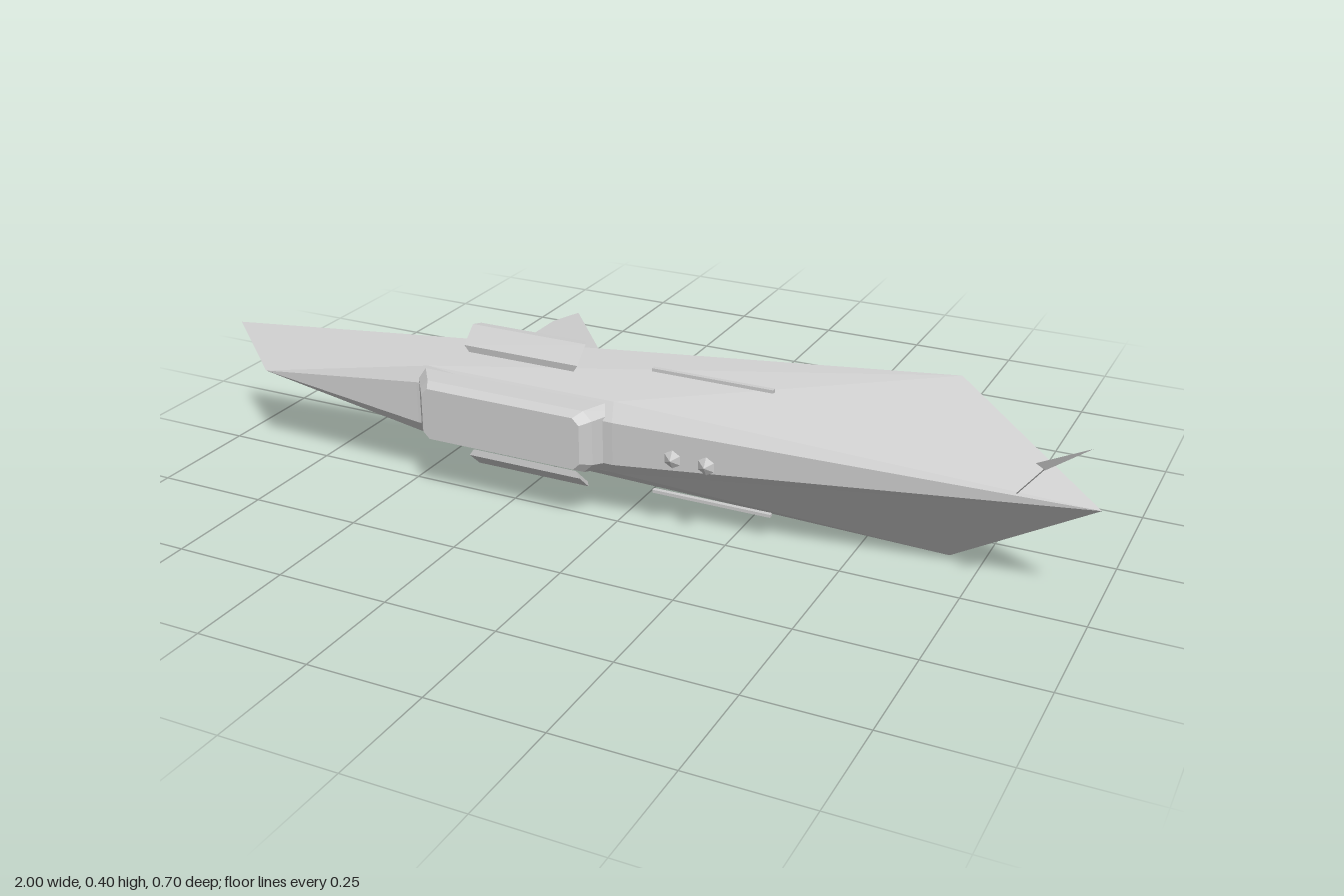
import * as THREE from 'three';

const grey = new THREE.MeshStandardMaterial({ color: 0xcccccc });
grey.name = 'hull grey';

// Faceted solid from points and polygons; each triangle is turned away from the centre
function solid(name, points, faces, centre) {
  const P = points.map(p => new THREE.Vector3(...p));
  const c = centre ? new THREE.Vector3(...centre)
    : P.reduce((s, p) => s.add(p), new THREE.Vector3()).divideScalar(P.length);
  const out = [];
  for (const f of faces) {
    for (let i = 1; i < f.length - 1; i++) {
      const [a, b, d] = [P[f[0]], P[f[i]], P[f[i + 1]]];
      const n = b.clone().sub(a).cross(d.clone().sub(a));
      const order = n.dot(a.clone().sub(c)) >= 0 ? [a, b, d] : [a, d, b];
      order.forEach(v => out.push(v.x, v.y, v.z));
    }
  }
  const g = new THREE.BufferGeometry();
  g.setAttribute('position', new THREE.Float32BufferAttribute(out, 3));
  g.computeVertexNormals();
  const mesh = new THREE.Mesh(g, grey);
  mesh.name = name;
  return mesh;
}

// Skin equal-length rings and cap both ends
function loft(name, rings) {
  const n = rings[0].length, faces = [];
  for (let r = 0; r < rings.length - 1; r++) {
    for (let i = 0; i < n; i++) {
      const j = (i + 1) % n;
      faces.push([r * n + i, r * n + j, (r + 1) * n + j, (r + 1) * n + i]);
    }
  }
  const ids = [...Array(n).keys()];
  faces.push(ids, ids.map(i => i + (rings.length - 1) * n));
  return solid(name, rings.flat(), faces);
}

// Rectangle with cut corners at depth z
function cutRect(x0, x1, y0, y1, z, c) {
  return [[x0 + c, y0, z], [x1 - c, y0, z], [x1, y0 + c, z], [x1, y1 - c, z],
    [x1 - c, y1, z], [x0 + c, y1, z], [x0, y1 - c, z], [x0, y0 + c, z]];
}

function makeHull() {
  const points = [
    [-1, 0.27, 0.2], [-0.86, 0.21, 0.3], [-0.75, 0.042, 0.07],    // 0-2 left end
    [0.68, 0, 0.09], [0.68, 0.397, 0.09], [1, 0.236, 0.23],       // 3-5 right end
    [-0.2, 0.2, 0.063],                                           // 6 back ridge
    [-0.45, 0.28, 0.26], [0, 0.28, 0.26],                         // 7,8 upper shoulder
    [-0.47, 0.245, 0.28], [0.01, 0.245, 0.288],                   // 9,10 upper front
    [-0.47, 0.15, 0.28], [0.01, 0.15, 0.288],                     // 11,12 lower front
    [-0.46, 0.118, 0.26], [0, 0.118, 0.26],                       // 13,14 lower shoulder
  ];
  const faces = [
    [4, 0, 7], [4, 7, 8], [4, 8, 5], [5, 8, 10], [5, 10, 12], [5, 12, 14], [5, 14, 3],
    [2, 3, 13], [3, 14, 13], [1, 0, 7], [1, 7, 9], [1, 9, 11], [1, 11, 13], [1, 13, 2], [0, 1, 2],
    [7, 8, 10, 9], [9, 10, 12, 11], [11, 12, 14, 13],
    [4, 5, 6], [5, 3, 6], [3, 2, 6], [2, 0, 6], [0, 4, 6],
  ];
  return solid('hull', points, faces, [-0.1, 0.2, 0.17]);
}

function makeFin() {
  // x, z, upper y, lower y around the outline
  const rim = [
    [-0.08, 0, 0.203, 0.195], [-0.22, -0.11, 0.206, 0.2], [-0.415, -0.35, 0.202, 0.189],
    [-0.44, -0.27, 0.204, 0.194], [-0.44, -0.04, 0.206, 0.198], [-0.53, 0.06, 0.204, 0.189],
    [-0.53, 0.1, 0.204, 0.189], [-0.49, 0.1, 0.204, 0.187], [-0.2, 0.07, 0.204, 0.187],
  ];
  const n = rim.length;
  const points = [...rim.map(r => [r[0], r[2], r[1]]), ...rim.map(r => [r[0], r[3], r[1]]),
    [-0.36, 0.208, -0.03], [-0.36, 0.188, -0.03]];
  const faces = [];
  for (let i = 0; i < n; i++) {
    const j = (i + 1) % n;
    faces.push([i, j, 2 * n], [n + i, n + j, 2 * n + 1], [i, j, n + j, n + i]);
  }
  return solid('rearFin', points, faces, [-0.36, 0.199, -0.03]);
}

// Floating side parts, mirrored above (s = 1) and below (s = -1) the mid height
function makePanels(s) {
  const g = new THREE.Group();
  g.name = s > 0 ? 'upperPanels' : 'lowerPanels';
  const y = v => 0.2 + s * v;
  const ring = (x, k) => [[x + k, y(0.115), 0.228], [x, y(0.13), 0.23],
    [x, y(0.165), 0.192], [x + k, y(0.164), 0.175]];
  g.add(loft('slantedPanel', [ring(-0.375, 0.01), ring(-0.1, -0.01)]));
  const rod = new THREE.Mesh(new THREE.BoxGeometry(0.27, 0.007, 0.01), grey);
  rod.name = 'thinRail';
  rod.position.set(0.193, y(0.139), 0.195);
  g.add(rod);
  return g;
}

export function createModel() {
  const model = new THREE.Group();
  model.name = 'spaceship';
  model.add(makeHull(), makeFin(), makePanels(1), makePanels(-1));

  // Raised bay on the front
  model.add(loft('frontBay', [
    cutRect(-0.485, 0.01, 0.125, 0.276, 0.25, 0.02),
    cutRect(-0.44, -0.025, 0.132, 0.27, 0.31, 0.02),
    cutRect(-0.425, -0.045, 0.143, 0.259, 0.33, 0.015),
  ]));

  // Pair of small cones on the front face
  for (const x of [0.155, 0.23]) {
    const cone = new THREE.Mesh(new THREE.ConeGeometry(0.02, 0.012, 6).toNonIndexed(), grey);
    cone.geometry.computeVertexNormals();
    cone.name = 'frontCone';
    cone.rotation.x = Math.PI / 2;
    cone.position.set(x, 0.2, 0.311);
    model.add(cone);
  }

  // Antenna mast and its small angular head
  const path = new THREE.LineCurve3(new THREE.Vector3(0.84, 0.24, 0.235), new THREE.Vector3(0.912, 0.352, 0.34));
  const mast = new THREE.Mesh(new THREE.TubeGeometry(path, 1, 0.0012, 4), grey);
  mast.name = 'antennaMast';
  model.add(mast);
  model.add(solid('antennaHead',
    [[0.897, 0.365, 0.352], [0.992, 0.403, 0.33], [0.912, 0.348, 0.338], [0.915, 0.368, 0.336]],
    [[0, 1, 2], [0, 1, 3], [1, 2, 3], [0, 2, 3]]));
  return model;
}
